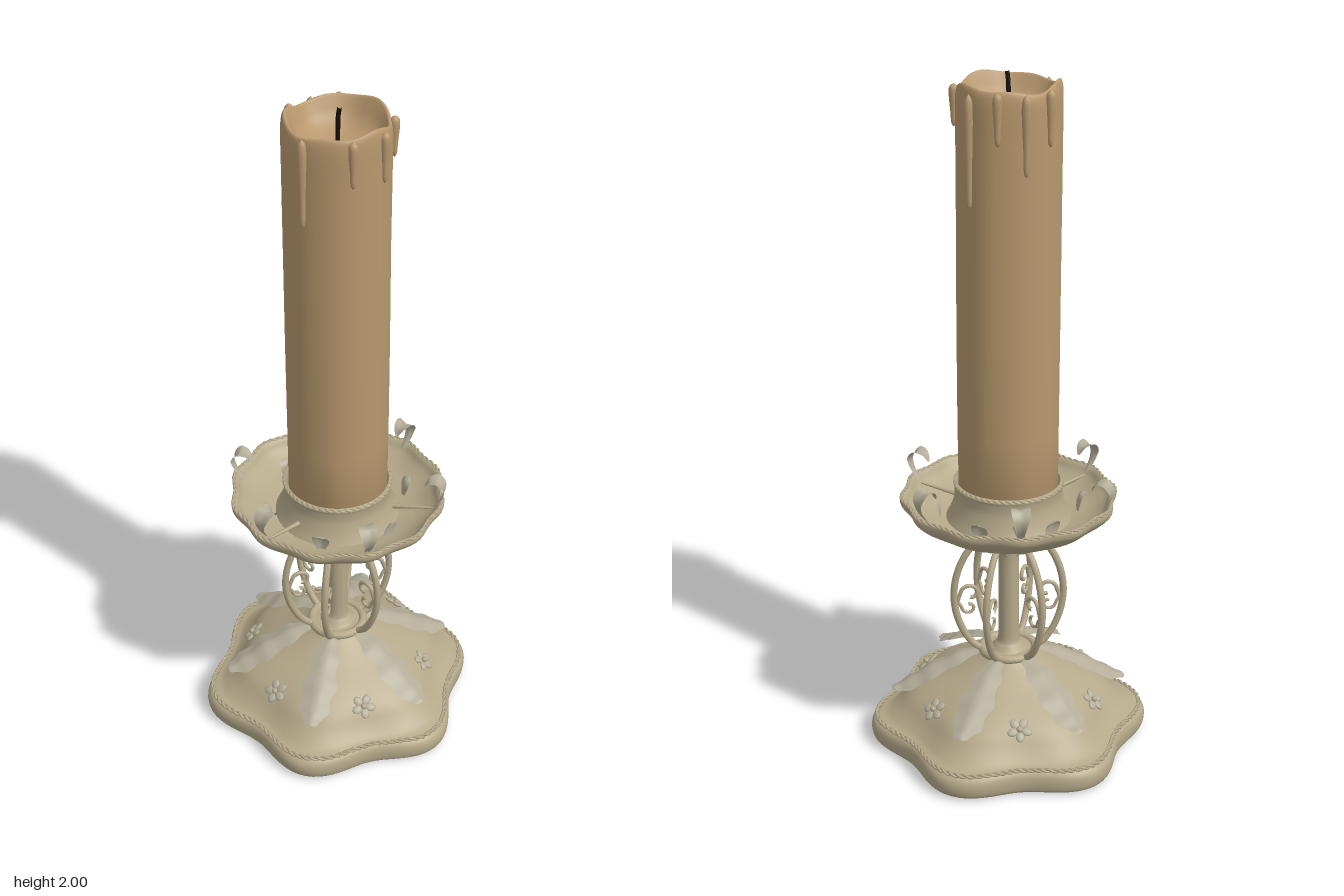
import * as THREE from 'three';
import { mergeVertices } from 'three/addons/utils/BufferGeometryUtils.js';

const mat = (color, side = THREE.FrontSide) => new THREE.MeshStandardMaterial({ color, side });
const metal = mat(0xb5a98a), leafMetal = mat(0xb3ac98, THREE.DoubleSide);
const wax = mat(0xb8986e), black = mat(0x15110d);
const TAU = Math.PI * 2;

const v2 = (pts) => pts.map(([x, y]) => new THREE.Vector2(x, y));
const v3 = (pts) => pts.map(([x, y]) => new THREE.Vector3(x, y, 0));
const spline = (pts, n) => new THREE.SplineCurve(v2(pts)).getPoints(n)
  .map((p) => new THREE.Vector2(Math.max(p.x, 0), p.y));

function mesh(name, geometry, material = metal) {
  const m = new THREE.Mesh(geometry, material);
  m.name = name;
  return m;
}

// Lathe whose vertices are moved by rule(radius, angle, y) -> [radius, y]
function warpedLathe(points, segments, rule) {
  let g = new THREE.LatheGeometry(points, segments);
  g.deleteAttribute('uv');
  g.deleteAttribute('normal');
  g = mergeVertices(g, 1e-5);
  const p = g.attributes.position;
  for (let i = 0; i < p.count; i++) {
    const a = Math.atan2(p.getZ(i), p.getX(i));
    const [r, y] = rule(Math.hypot(p.getX(i), p.getZ(i)), a, p.getY(i));
    p.setXYZ(i, r * Math.cos(a), y, r * Math.sin(a));
  }
  g.computeVertexNormals();
  return g;
}

// Wavy outlines, strongest at the edge
const baseLobe = (r, a) => r * (1 + 0.073 * Math.cos(6 * a) * (r / 0.387) ** 2);
const trayLobe = (r, a) => r * (1 + 0.02 * Math.cos(12 * a) * (r / 0.305) ** 4);

// Two strands twisted round a wavy ring
function rope(name, radiusAt, y, thick, turns) {
  const g = new THREE.Group();
  g.name = name;
  for (let s = 0; s < 2; s++) {
    const pts = [];
    for (let i = 0; i < turns * 6; i++) {
      const a = (i / (turns * 6)) * TAU, w = a * turns + s * Math.PI;
      const r = radiusAt(a) + thick * 0.6 * Math.cos(w);
      pts.push(new THREE.Vector3(r * Math.cos(a), y + thick * 0.6 * Math.sin(w), r * Math.sin(a)));
    }
    const curve = new THREE.CatmullRomCurve3(pts, true);
    g.add(mesh('strand', new THREE.TubeGeometry(curve, turns * 8, thick * 0.7, 5, true)));
  }
  return g;
}

// Folded leaf following a path in the radial plane
function leaf(path, widthAt, fold, rows = 24) {
  const curve = new THREE.SplineCurve(v2(path)), cols = 6, pos = [], idx = [];
  for (let i = 0; i <= rows; i++) {
    const t = i / rows, c = curve.getPoint(t), d = curve.getTangent(t), w = widthAt(t);
    for (let j = 0; j <= cols; j++) {
      const s = (j / cols) * 2 - 1, lift = fold * w * (1 - Math.abs(s));
      pos.push(c.x - d.y * lift, c.y + d.x * lift, s * w);
      if (i < rows && j < cols) {
        const k = i * (cols + 1) + j, n = k + cols + 1;
        idx.push(k, k + 1, n, k + 1, n + 1, n);
      }
    }
  }
  const g = new THREE.BufferGeometry();
  g.setAttribute('position', new THREE.Float32BufferAttribute(pos, 3));
  g.setIndex(idx);
  g.computeVertexNormals();
  return g;
}

const tube = (pts, r, n = 32) =>
  new THREE.TubeGeometry(new THREE.CatmullRomCurve3(v3(pts)), n, r, 8);

// Repeats parts made along +x around the axis
function around(parent, count, offset, make) {
  for (let i = 0; i < count; i++) {
    const g = new THREE.Group();
    g.rotation.y = -(offset + (i / count) * TAU);
    const parts = make();
    g.name = parts[0].name + 'Group';
    g.add(...parts);
    parent.add(g);
  }
}

function flower() {
  const g = new THREE.Group();
  g.name = 'flower';
  for (let i = 0; i < 5; i++) {
    const a = (i / 5) * TAU;
    const petal = mesh('petal', new THREE.SphereGeometry(0.015, 10, 8), leafMetal);
    petal.scale.set(1.1, 0.4, 0.85);
    petal.position.set(0.021 * Math.cos(a), 0, 0.021 * Math.sin(a));
    petal.rotation.y = -a;
    g.add(petal);
  }
  const heart = mesh('flowerCentre', new THREE.SphereGeometry(0.009, 10, 8));
  heart.position.y = 0.005;
  g.add(heart);
  g.position.set(0.272, 0.165, 0);
  g.rotation.z = -0.72;
  return g;
}

export function createModel() {
  const model = new THREE.Group();
  model.name = 'candlestick';

  // Lobed foot
  const basePts = [...v2([[0, 0], [0.2, 0]]), ...spline([[0.365, 0], [0.382, 0.012], [0.387, 0.038],
    [0.383, 0.06], [0.37, 0.074], [0.345, 0.084], [0.315, 0.11], [0.28, 0.15], [0.23, 0.185],
    [0.16, 0.225], [0.1, 0.265], [0.08, 0.285]], 48), ...v2([[0, 0.29]])];
  model.add(mesh('base', warpedLathe(basePts, 120, (r, a, y) => [baseLobe(r, a), y])));
  model.add(rope('baseRope', (a) => baseLobe(0.372, a), 0.077, 0.006, 54));

  // Leaves and flowers on the foot
  const lobedWidth = (t) => 0.052 * Math.pow(Math.sin(Math.PI * (0.1 + 0.88 * t)), 0.6)
    * (0.72 + 0.28 * Math.min(1, t * 1.6)) * (1 + 0.13 * Math.cos(t * TAU * 4));
  around(model, 6, 0, () => [mesh('baseLeaf', leaf([[0.09, 0.28], [0.15, 0.258], [0.23, 0.218],
    [0.3, 0.178], [0.35, 0.163]], lobedWidth, 0.3, 40), leafMetal)]);
  around(model, 6, Math.PI / 6, () => [flower()]);

  // Stem and collar
  model.add(mesh('stem', new THREE.LatheGeometry(spline([[0.06, 0.28], [0.042, 0.3], [0.031, 0.33],
    [0.03, 0.47], [0.031, 0.6], [0.04, 0.64], [0.06, 0.67]], 30), 32)));
  const collar = mesh('collar', new THREE.TorusGeometry(0.078, 0.013, 10, 48));
  collar.rotation.x = Math.PI / 2;
  collar.position.y = 0.283;
  model.add(collar);

  // Cage of bowed bars with scrolls
  const curl = (cx, cy, r, dir) => {
    const pts = [];
    for (let i = 0; i <= 16; i++) {
      const a = dir * (i / 16) * 4.9, k = r * (1 - 0.6 * i / 16);
      pts.push([cx + k * Math.cos(a), cy + k * Math.sin(a)]);
    }
    return pts;
  };
  around(model, 6, 0, () => [
    mesh('bar', tube([[0.07, 0.275], [0.112, 0.31], [0.148, 0.38], [0.162, 0.46], [0.151, 0.54],
      [0.118, 0.61], [0.08, 0.645], [0.05, 0.66]], 0.0105, 48)),
    mesh('upperScroll', tube([[0.158, 0.42], [0.15, 0.45], ...curl(0.113, 0.47, 0.03, 1)], 0.006, 48)),
    mesh('lowerScroll', tube([[0.156, 0.45], [0.146, 0.436], ...curl(0.118, 0.425, 0.022, -1)], 0.005, 40)),
    mesh('barLeaf', leaf([[0.06, 0.61], [0.075, 0.645], [0.1, 0.655], [0.13, 0.652]],
      (t) => 0.02 * (1 - t) + 0.001, 0.3), leafMetal),
  ]);

  // Scalloped drip tray
  const trayPts = [...v2([[0, 0.66]]), ...spline([[0.06, 0.66], [0.12, 0.67], [0.2, 0.695], [0.265, 0.73],
    [0.3, 0.762], [0.307, 0.783], [0.302, 0.792], [0.292, 0.786], [0.275, 0.763], [0.23, 0.735],
    [0.16, 0.715]], 44), ...v2([[0, 0.712]])];
  model.add(mesh('dripTray', warpedLathe(trayPts, 120, (r, a, y) => [trayLobe(r, a), y])));
  model.add(rope('trayRope', (a) => trayLobe(0.302, a), 0.79, 0.005, 42));

  // Hooked leaves on the tray rim
  around(model, 6, Math.PI / 6, () => [mesh('rimLeaf', leaf([[0.285, 0.78], [0.308, 0.815], [0.314, 0.848],
    [0.295, 0.873], [0.267, 0.867], [0.254, 0.842]],
    (t) => (t < 0.3 ? 0.007 + 0.03 * t : 0.004 + 0.023 * Math.sin(Math.PI * (t - 0.16) / 0.84)), 0.25), leafMetal)]);

  // Small upright leaves and spokes inside the tray
  around(model, 6, 0, () => [mesh('trayLeaf', leaf([[0.2, 0.715], [0.203, 0.745], [0.21, 0.77], [0.222, 0.782]],
    (t) => 0.003 + 0.022 * Math.sin(Math.PI * Math.min(1, t * 0.95)), 0.3), leafMetal)]);
  around(model, 3, Math.PI / 2, () => {
    const spoke = mesh('traySpoke', new THREE.CylinderGeometry(0.003, 0.008, 0.13, 8));
    spoke.position.set(0.215, 0.762, 0);
    spoke.rotation.z = -Math.PI / 2 + 0.12;
    return [spoke];
  });

  // Candle cup
  model.add(mesh('cup', new THREE.LatheGeometry(spline([[0.185, 0.712], [0.168, 0.745], [0.156, 0.785],
    [0.156, 0.815], [0.158, 0.826], [0.152, 0.832], [0.146, 0.822], [0.145, 0.715]], 32), 64)));
  model.add(rope('cupRope', () => 0.153, 0.828, 0.005, 26));

  // Candle with an uneven melted top
  const candlePts = [...v2([[0, 0.715], [0.142, 0.715], [0.143, 1], [0.143, 1.3], [0.142, 1.6]]),
    ...spline([[0.142, 1.85], [0.142, 1.93], [0.138, 1.963], [0.13, 1.97], [0.121, 1.955],
      [0.1, 1.92], [0.06, 1.895], [0, 1.885]], 28)];
  model.add(mesh('candle', warpedLathe(candlePts, 72, (r, a, y) => {
    const top = THREE.MathUtils.smoothstep(y, 1.88, 1.96);
    const wobble = 0.008 * Math.sin(3 * a + 0.6) + 0.006 * Math.sin(5 * a + 2);
    return [r * (1 + 0.008 * Math.sin(7 * a + 2 * y) + 0.006 * Math.sin(3 * a + 4 * y)), y + top * wobble];
  }), wax));

  // Wax drips: angle in degrees, lower end, upper end
  const drips = [[84, 1.72, 1.965], [31, 1.84, 1.97], [-8, 1.83, 1.97], [-50, 1.85, 1.965], [-98, 1.66, 1.96],
    [-132, 1.83, 1.97], [-162, 1.75, 1.965], [168, 1.82, 1.97]];
  for (const [deg, lo, hi] of drips) {
    const L = hi - lo, a = THREE.MathUtils.degToRad(deg);
    const d = mesh('waxDrip', new THREE.LatheGeometry(spline([[0, 0], [0.007, 0.012], [0.009, L * 0.35],
      [0.013, L * 0.75], [0.011, L * 0.93], [0, L]], 20), 12), wax);
    d.position.set(0.145 * Math.cos(a), lo, 0.145 * Math.sin(a));
    model.add(d);
  }

  // Wick
  model.add(mesh('wick', tube([[0, 1.88], [0.001, 1.93], [0.002, 1.97], [0.007, 1.998]], 0.006, 12), black));
  return model;
}
